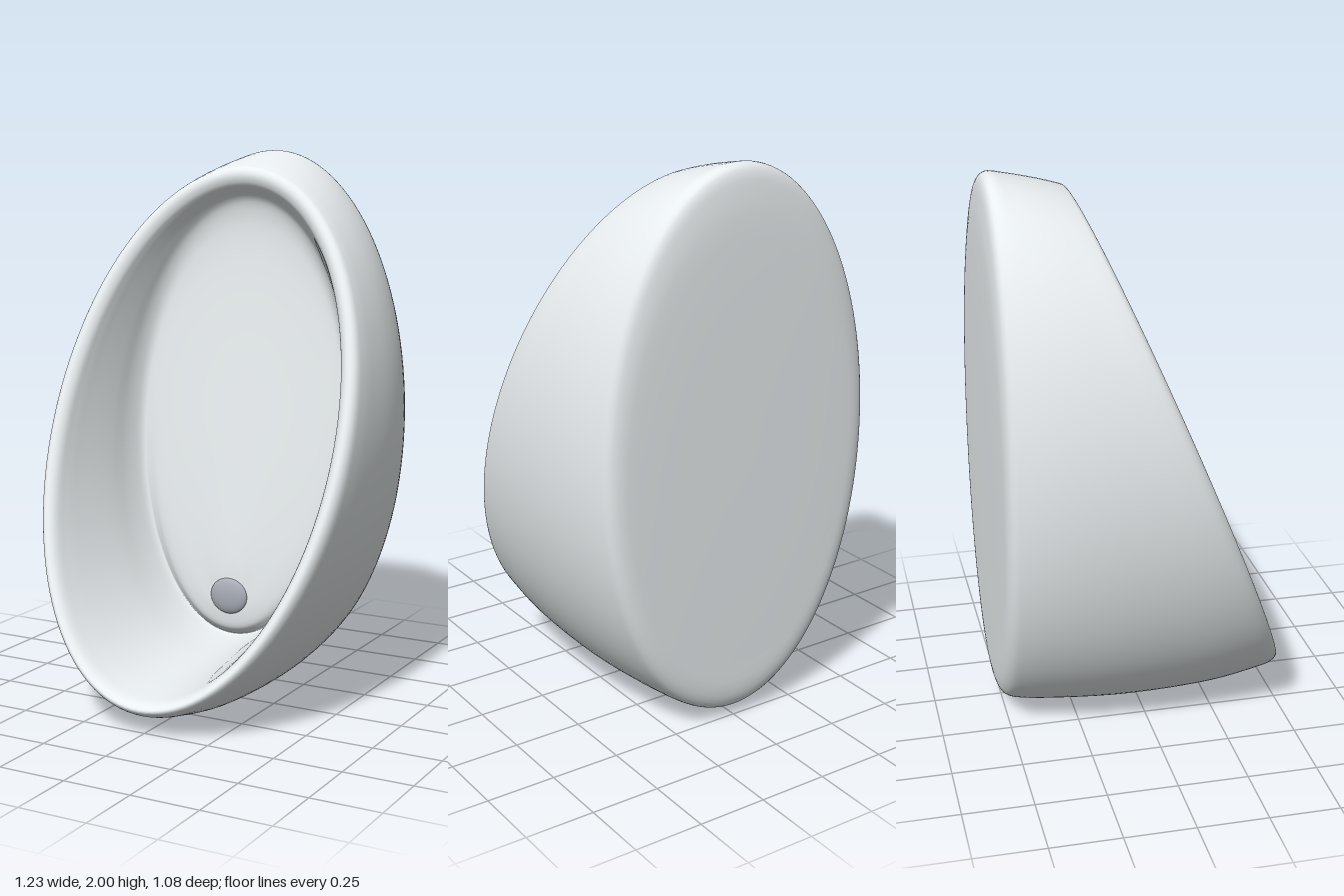
import * as THREE from 'three';

// Tilted elliptical loops: half width, bottom y, top y, z at bottom, z at top
const LOOPS = [
  // flat back and its rounded edge
  [0, 1, 1, -0.537, -0.537], [0.42, 0.24, 1.76, -0.534, -0.534],
  [0.5, 0.1, 1.9, -0.528, -0.526], [0.533, 0.05, 1.98, -0.505, -0.51],
  // outer shell
  [0.547, 0.032, 1.998, -0.47, -0.485], [0.583, 0.012, 1.99, -0.28, -0.43],
  [0.607, 0.003, 1.975, -0.03, -0.36], [0.614, 0.02, 1.956, 0.28, -0.285],
  [0.611, 0.05, 1.944, 0.44, -0.245],
  // rolled rim
  [0.604, 0.068, 1.935, 0.51, -0.222], [0.588, 0.086, 1.92, 0.537, -0.21],
  [0.57, 0.1, 1.903, 0.54, -0.207], [0.548, 0.117, 1.882, 0.515, -0.213],
  [0.532, 0.13, 1.868, 0.44, -0.223],
  // inner wall, running into a soft cove at the top and a crease at the bottom
  [0.515, 0.143, 1.855, 0.33, -0.237], [0.48, 0.165, 1.835, 0.1, -0.26],
  [0.455, 0.18, 1.81, -0.07, -0.275], [0.425, 0.195, 1.76, -0.148, -0.285],
  // inner back, almost upright and deepest at the top
  [0.4, 0.205, 1.7, -0.14, -0.287], [0.36, 0.225, 1.6, -0.122, -0.281],
  [0.28, 0.27, 1.35, -0.114, -0.25], [0.14, 0.32, 0.85, -0.113, -0.175],
  [0.05, 0.36, 0.5, -0.114, -0.124], [0, 0.4, 0.4, -0.115, -0.115],
];

// Skin a smooth surface over the loops, starting at the back
function skinLoops(loops, steps, sides) {
  const low = new THREE.CatmullRomCurve3(loops.map(l => new THREE.Vector3(l[0], l[1], l[3])));
  const high = new THREE.CatmullRomCurve3(loops.map(l => new THREE.Vector3(0, l[2], l[4])));
  const rows = (loops.length - 1) * steps;
  const pos = [], index = [];
  for (let i = 0; i <= rows; i++) {
    const b = low.getPoint(i / rows), t = high.getPoint(i / rows);
    for (let j = 0; j < sides; j++) {
      const a = (j / sides) * Math.PI * 2;
      const k = (1 + Math.sin(a)) / 2;
      pos.push(Math.max(b.x, 0) * Math.cos(a), b.y + (t.y - b.y) * k, b.z + (t.z - b.z) * k);
      if (i === rows) continue;
      const p = i * sides + j, q = i * sides + (j + 1) % sides;
      if (i > 0) index.push(p, q, p + sides);
      if (i < rows - 1) index.push(q, q + sides, p + sides);
    }
  }
  const geo = new THREE.BufferGeometry();
  geo.setAttribute('position', new THREE.Float32BufferAttribute(pos, 3));
  geo.setIndex(index);
  geo.computeVertexNormals();
  // Both end points share one normal each
  const n = geo.attributes.normal;
  for (let j = 0; j < sides; j++) {
    n.setXYZ(j, 0, 0, -1);
    n.setXYZ(rows * sides + j, 0, 0.1, 0.995);
  }
  return geo;
}

export function createModel() {
  const group = new THREE.Group();
  group.name = 'urinal';

  // Ceramic shell with the hollow basin
  const basin = new THREE.Mesh(skinLoops(LOOPS, 4, 128),
    new THREE.MeshStandardMaterial({ color: 0xe8edef }));
  basin.name = 'basin';
  group.add(basin);

  // Shallow domed drain cover
  const drain = new THREE.Mesh(new THREE.SphereGeometry(1, 48, 24),
    new THREE.MeshStandardMaterial({ color: 0xa8adb6 }));
  drain.name = 'drain';
  drain.scale.set(0.076, 0.068, 0.022);
  drain.position.set(0, 0.348, -0.117);
  group.add(drain);

  return group;
}
